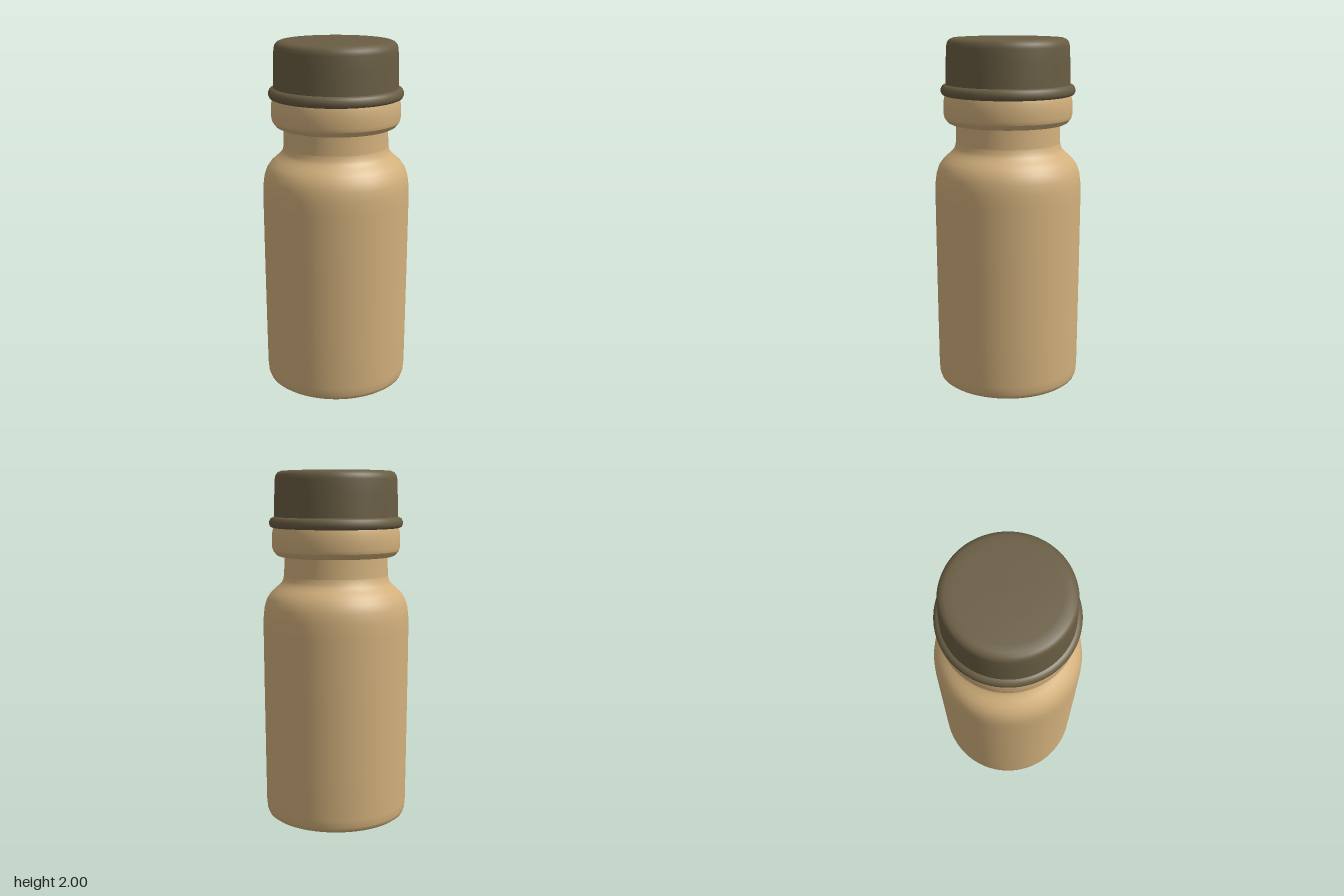
import * as THREE from 'three';

const tan = new THREE.MeshStandardMaterial({ color: 0xd2b07c });
tan.name = 'tanBottle';
const olive = new THREE.MeshStandardMaterial({ color: 0x695d43 });
olive.name = 'oliveCap';
const brown = new THREE.MeshStandardMaterial({ color: 0xb8641f });
brown.name = 'brownBase';

// Turned part from [radius, height] pairs, listed from bottom to top
function turned(name, material, profile) {
  const points = profile.map(([r, y]) => new THREE.Vector2(r, y));
  const mesh = new THREE.Mesh(new THREE.LatheGeometry(points, 96), material);
  mesh.name = name;
  return mesh;
}

export function createModel() {
  const group = new THREE.Group();
  group.name = 'bottle';

  // Underside with a shallow recess, rounded foot, straight wall and soft shoulder
  group.add(turned('body', tan, [
    [0.175, 0.02], [0.18, 0.012], [0.27, 0.008], [0.36, 0], [0.385, 0.003],
    [0.4, 0.014], [0.408, 0.035], [0.412, 0.08], [0.414, 0.3], [0.417, 0.7],
    [0.419, 1.1], [0.417, 1.18], [0.41, 1.235], [0.395, 1.28], [0.37, 1.315],
    [0.34, 1.342], [0.315, 1.365], [0.303, 1.385], [0.298, 1.41],
  ]));
  group.add(turned('neck', tan, [[0.298, 1.41], [0.296, 1.46], [0.295, 1.54]]));

  // Collar below the cap
  group.add(turned('collarUnderside', tan, [[0.29, 1.52], [0.325, 1.52], [0.34, 1.527], [0.358, 1.55]]));
  group.add(turned('collar', tan, [
    [0.358, 1.55], [0.364, 1.57], [0.365, 1.62], [0.362, 1.66], [0.355, 1.685],
  ]));

  // Cap with a rolled rim
  group.add(turned('capUnderside', olive, [[0.33, 1.68], [0.36, 1.68]]));
  group.add(turned('capRim', olive, [
    [0.36, 1.68], [0.372, 1.685], [0.379, 1.698], [0.379, 1.715],
    [0.372, 1.731], [0.36, 1.738], [0.35, 1.742],
  ]));
  group.add(turned('cap', olive, [
    [0.352, 1.738], [0.351, 1.78], [0.348, 1.88], [0.345, 1.95], [0.34, 1.973],
    [0.328, 1.988], [0.308, 1.996], [0.27, 1.998], [0.15, 2], [0, 2],
  ]));

  // Round spot in the underside
  const spot = new THREE.Mesh(new THREE.CircleGeometry(0.178, 64), brown);
  spot.name = 'baseSpot';
  spot.rotation.x = Math.PI / 2;
  spot.position.y = 0.018;
  group.add(spot);

  return group;
}
